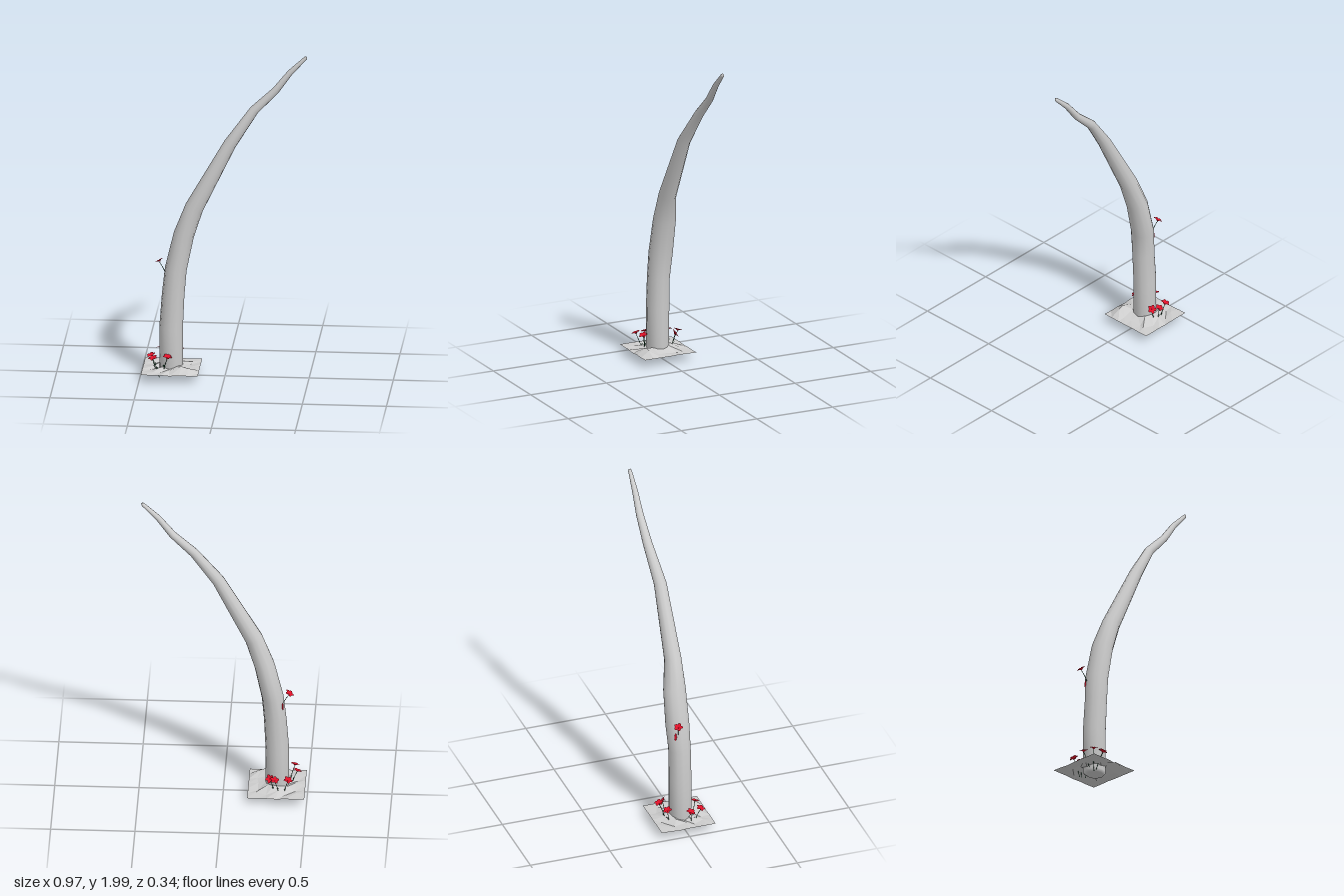
import * as THREE from 'three';

const grey = new THREE.MeshStandardMaterial({ color: 0xcccccc });
grey.name = 'stone grey';
const groundGrey = new THREE.MeshStandardMaterial({ color: 0xcccccc, side: THREE.DoubleSide, flatShading: true });
groundGrey.name = 'ground grey';
const red = new THREE.MeshStandardMaterial({ color: 0xe01028, side: THREE.DoubleSide });
red.name = 'petal red';
const green = new THREE.MeshStandardMaterial({ color: 0x0c4022, side: THREE.DoubleSide });
green.name = 'stem green';

function add(parent, name, geometry, material) {
  const mesh = new THREE.Mesh(geometry, material);
  mesh.name = name;
  parent.add(mesh);
  return mesh;
}

// Tapering spire: rings across a bent path; each row is x, y, z, radius in x, radius in z
function spireGeometry() {
  const rows = [
    [-0.315, 0.022, 0.003, 0.055, 0.05], [-0.32, 0.035, 0.003, 0.069, 0.067],
    [-0.32, 0.3, 0.003, 0.07, 0.069], [-0.308, 0.5, 0.004, 0.067, 0.068],
    [-0.293, 0.66, -0.004, 0.065, 0.074], [-0.245, 0.875, -0.005, 0.061, 0.07],
    [-0.182, 1.05, 0.006, 0.055, 0.052], [0.03, 1.45, 0.002, 0.038, 0.039],
    [0.172, 1.655, -0.028, 0.028, 0.029],
    [0.3, 1.78, -0.031, 0.022, 0.023], [0.385, 1.893, -0.031, 0.017, 0.018],
    [0.475, 1.983, -0.031, 0.011, 0.011], [0.48, 1.992, -0.031, 0.007, 0.007],
  ];
  const sides = 12, pos = [], idx = [], last = rows.length - 1;
  rows.forEach(([x, y, z, rx, rz], j) => {
    const p = rows[Math.max(j - 1, 0)], q = rows[Math.min(j + 1, last)];
    const t = new THREE.Vector2(q[0] - p[0], q[1] - p[1]).normalize();
    if (j < 2) t.set(0, 1);
    for (let i = 0; i < sides; i++) {
      const a = (i / sides) * Math.PI * 2, c = Math.cos(a) * rx;
      pos.push(x - t.y * c, y + t.x * c, z + Math.sin(a) * rz);
    }
  });
  for (let j = 0; j < last; j++) {
    for (let i = 0; i < sides; i++) {
      const a = j * sides + i, b = j * sides + ((i + 1) % sides);
      idx.push(a, b, a + sides, b, b + sides, a + sides);
    }
  }
  for (let i = 1; i < sides - 1; i++) {
    idx.push(0, i + 1, i, last * sides, last * sides + i, last * sides + i + 1);
  }
  const g = new THREE.BufferGeometry();
  g.setAttribute('position', new THREE.Float32BufferAttribute(pos, 3));
  g.setIndex(idx);
  g.computeVertexNormals();
  return g;
}

// Broken ground: flat rim with uneven slabs inside, heights in hundredths
function groundGeometry() {
  const heights = [
    [5, 5, 5, 4.7, 5, 4.8, 5],
    [5, 5.2, 4.4, 6.5, 5, 5.2, 5],
    [4.6, 4.4, 6.5, 8, 7.5, 4.6, 5.2],
    [5, 5.6, 5, 6, 6.5, 5.3, 5],
    [5, 4.4, 6.5, 6, 7.5, 5.6, 5],
    [5, 5.2, 4.6, 6.2, 9, 8, 5],
    [5, 4.8, 5, 4.5, 5, 4.8, 5],
  ];
  const g = new THREE.PlaneGeometry(0.338, 0.338, 6, 6).rotateX(-Math.PI / 2);
  const p = g.attributes.position;
  for (let k = 0; k < p.count; k++) {
    const r = Math.floor(k / 7), c = k % 7;
    const inside = r > 0 && r < 6 && c > 0 && c < 6;
    p.setY(k, heights[r][c] / 100);
    if (inside) { // shift inner corners so the slabs look irregular
      p.setX(k, p.getX(k) + 0.014 * Math.sin(k * 2.3));
      p.setZ(k, p.getZ(k) + 0.014 * Math.cos(k * 3.1));
    }
  }
  const flat = g.toNonIndexed();
  flat.computeVertexNormals();
  return flat.translate(-0.318, 0, 0);
}

// One petal: narrow root, broad cupped middle, pointed tip
function petalGeometry() {
  const g = new THREE.BufferGeometry();
  g.setAttribute('position', new THREE.Float32BufferAttribute([
    0, -0.009, 0, 0.012, 0.003, 0.01, 0.013, 0.001, 0, 0.012, 0.003, -0.01,
    0.021, 0.005, 0.0095, 0.021, 0.005, -0.0095, 0.029, 0.003, 0,
  ], 3));
  g.setIndex([0, 1, 2, 0, 2, 3, 1, 4, 2, 2, 5, 3, 2, 4, 6, 2, 6, 5]);
  g.computeVertexNormals();
  return g;
}
const petal = petalGeometry();

// Flower: bent stem from root to head, with five petals
function makeFlower({ root, head, tilt = [0, 0], turn = 0, leaf = true }) {
  const flower = new THREE.Group();
  flower.name = 'flower';
  const a = new THREE.Vector3(...root), b = new THREE.Vector3(...head);
  const end = b.clone();
  end.y -= 0.008;
  const mid = a.clone().lerp(end, 0.55);
  mid.x += (a.x - b.x) * 0.2;
  mid.z += (a.z - b.z) * 0.2;
  const curve = new THREE.QuadraticBezierCurve3(a, mid, end);
  add(flower, 'stem', new THREE.TubeGeometry(curve, 6, 0.0018, 5), green);
  if (leaf) {
    const blade = add(flower, 'leaf', petal, green);
    blade.position.copy(curve.getPoint(0.4));
    blade.rotation.set(0, turn + 1, 0.6);
    blade.scale.set(0.7, 0.7, 0.4);
  }
  const bloom = new THREE.Group();
  bloom.name = 'bloom';
  bloom.position.copy(b);
  bloom.rotation.set(tilt[0], 0, tilt[1]);
  for (let i = 0; i < 5; i++) {
    add(bloom, 'petal', petal, red).rotation.y = turn + (i * Math.PI * 2) / 5;
  }
  flower.add(bloom);
  return flower;
}

export function createModel() {
  const model = new THREE.Group();
  model.name = 'leaning spire with flowers';
  add(model, 'spire', spireGeometry(), grey);
  add(model, 'ground', groundGeometry(), groundGrey);

  // Flowers round the foot, and one growing from the side of the spire
  [
    { root: [-0.405, 0.03, 0.045], head: [-0.437, 0.13, 0.03], tilt: [0.2, 0.3], turn: 0.2 },
    { root: [-0.385, 0.002, 0.065], head: [-0.42, 0.133, 0.097], tilt: [0.3, 0.25], turn: 0.7 },
    { root: [-0.365, 0.02, 0.065], head: [-0.335, 0.14, 0.09], tilt: [0.3, -0.2], turn: 1 },
    { root: [-0.36, 0.02, -0.08], head: [-0.388, 0.14, -0.1], tilt: [-0.3, 0.25], turn: 0.4 },
    { root: [-0.335, 0.03, -0.09], head: [-0.31, 0.152, -0.125], tilt: [-0.35, 0.15], turn: 0.9 },
    { root: [-0.31, 0.03, -0.08], head: [-0.28, 0.142, -0.093], tilt: [-0.9, -0.3], turn: 0.1 },
    { root: [-0.35, 0.61, -0.02], head: [-0.393, 0.7, -0.033], tilt: [-0.2, 0.5], turn: 0.5, leaf: false },
  ].forEach((f) => model.add(makeFlower(f)));

  // Drooping bud against the spire below the upper flower
  const bud = add(model, 'bud', new THREE.SphereGeometry(0.01, 8, 6), red);
  bud.scale.set(0.6, 2.6, 0.8);
  bud.position.set(-0.353, 0.61, -0.036);
  return model;
}
